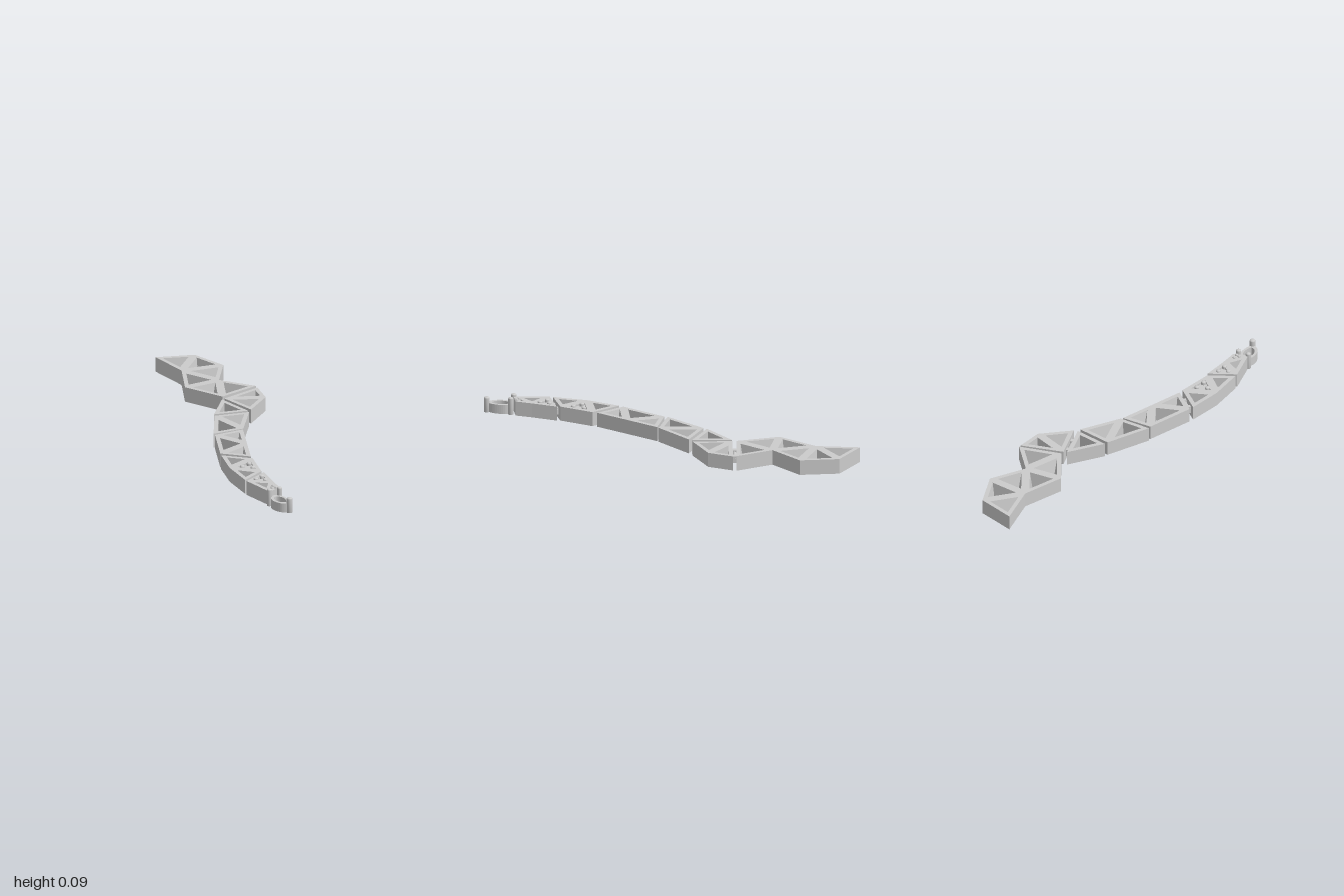
import * as THREE from 'three';

const mat = new THREE.MeshStandardMaterial({ color: 0xcccccc });
const flat = new THREE.MeshStandardMaterial({ color: 0xcccccc, flatShading: true });

// Triangular frame: a closed four-ring section swept round three corners.
// The opening narrows from the top to the bottom; inset 0 gives a solid prism.
function triangle(corners, height, topInset, bottomInset, y0 = 0) {
  let [a, b, c] = corners.map(p => new THREE.Vector2(...p));
  const area = (b.x - a.x) * (c.y - a.y) - (b.y - a.y) * (c.x - a.x);
  if (area > 0) [b, c] = [c, b];
  const la = b.distanceTo(c), lb = c.distanceTo(a), lc = a.distanceTo(b), sum = la + lb + lc;
  const centre = new THREE.Vector2(
    (a.x * la + b.x * lb + c.x * lc) / sum, (a.y * la + b.y * lb + c.y * lc) / sum);
  const radius = Math.abs(area) / sum;
  const ring = (inset, y) => [a, b, c].map(p => {
    const q = p.clone().lerp(centre, Math.min(1, inset / radius));
    return [q.x, y, q.y];
  });
  const solid = topInset === 0;
  const rings = [ring(0, y0), ring(0, height),
    ring(solid ? radius : topInset, height), ring(solid ? radius : bottomInset, y0)];
  const pos = [];
  for (let r = 0; r < 4; r++) {
    if (solid && r === 2) continue;
    for (let i = 0; i < 3; i++) {
      const j = (i + 1) % 3, lo = rings[r], hi = rings[(r + 1) % 4];
      pos.push(...lo[i], ...lo[j], ...hi[j], ...lo[i], ...hi[j], ...hi[i]);
    }
  }
  const g = new THREE.BufferGeometry();
  g.setAttribute('position', new THREE.Float32BufferAttribute(pos, 3));
  g.computeVertexNormals();
  return g;
}

// Each link: plan points (x, z), triangles between them, and which are closed panels
const links = [
  { name: 'endLink', h: 0.078, pts: [[-0.23, -1], [-0.03, -1], [0.09, -0.84], [-0.13, -0.8],
    [0.035, -0.645], [-0.15, -0.575], [0.015, -0.42], [0.205, -0.535]],
    tris: [[0, 1, 3], [1, 2, 3], [2, 4, 3], [3, 4, 5], [4, 6, 5], [4, 7, 6]], taper: [0, 1, 2, 3, 4, 5] },
  { name: 'elbowLink', h: 0.075, pts: [[0.21, -0.52], [0.022, -0.4], [0.23, -0.385], [0.13, -0.23]],
    tris: [[0, 1, 2], [1, 2, 3]], taper: [1] },
  { name: 'triangleLink', h: 0.075, pts: [[0.008, -0.39], [0.113, -0.218], [-0.065, -0.197]],
    tris: [[0, 1, 2]] },
  { name: 'upperLink', h: 0.075, pts: [[-0.065, -0.178], [0.115, -0.2], [-0.11, 0.062], [0.05, 0.017]],
    tris: [[0, 2, 3], [0, 1, 3]], taper: [1] },
  { name: 'middleLink', h: 0.075, pts: [[-0.105, 0.077], [0.046, 0.028], [0.035, 0.215],
    [-0.12, 0.33], [0.025, 0.395]], tris: [[0, 1, 2], [0, 2, 3], [2, 4, 3]], taper: [0, 2] },
  { name: 'lowerLink', h: 0.075, pts: [[-0.12, 0.355], [0.03, 0.42], [0.045, 0.6],
    [-0.055, 0.705], [-0.105, 0.53]], tris: [[0, 1, 4], [1, 2, 4], [4, 2, 3]], closed: [1] },
  { name: 'claspLink', h: 0.075, pts: [[0.055, 0.615], [-0.05, 0.72], [0.08, 0.745],
    [0.04, 0.88], [0.1, 0.83]], tris: [[0, 1, 2], [1, 2, 3], [2, 4, 3]], closed: [0, 2] },
];

// Centre lines of the gaps, where the hinges sit
const gaps = [
  [[0.017, -0.41], [0.207, -0.528]], [[0.015, -0.396], [0.122, -0.224]],
  [[-0.065, -0.188], [0.115, -0.209]], [[-0.107, 0.07], [0.048, 0.022]],
  [[-0.12, 0.342], [0.027, 0.408]], [[-0.053, 0.712], [0.05, 0.607]],
];

export function createModel() {
  const model = new THREE.Group();
  const add = (parent, name, geometry, material = mat) => {
    const m = new THREE.Mesh(geometry, material);
    m.name = name;
    parent.add(m);
    return m;
  };

  // Links
  for (const { name, h, pts, tris, taper = [], closed = [] } of links) {
    const link = new THREE.Group();
    link.name = name;
    tris.forEach((t, i) => {
      const corners = t.map(k => pts[k]);
      add(link, 'triangleFrame', triangle(corners, h, 0.021, taper.includes(i) ? 0.034 : 0.022), flat);
      if (closed.includes(i)) add(link, 'panel', triangle(corners, 0.066, 0, 0, 0.002), flat);
    });
    model.add(link);
  }

  // Hinges: a pin along each gap with knuckles reaching into both links
  for (const [[ax, az], [bx, bz]] of gaps) {
    const hinge = new THREE.Group();
    hinge.name = 'hinge';
    const length = Math.hypot(bx - ax, bz - az);
    const pin = add(hinge, 'hingePin', new THREE.CylinderGeometry(0.011, 0.011, length * 0.55, 12));
    pin.rotation.z = Math.PI / 2;
    for (const side of [-1, 1]) {
      const knuckle = add(hinge, 'hingeKnuckle', new THREE.BoxGeometry(length * 0.12, 0.036, 0.03));
      knuckle.position.x = side * length * 0.2;
    }
    hinge.position.set((ax + bx) / 2, 0.038, (az + bz) / 2);
    hinge.rotation.y = -Math.atan2(bz - az, bx - ax);
    model.add(hinge);
  }

  // Rounded studs on the panels and posts by the clasp: x, z, radius, top, base
  const stud = (name, x, z, r, top, base) => {
    const profile = [[0, base], [r, base], [r, top - r * 0.5], [r * 0.87, top - r * 0.2],
      [r * 0.5, top], [0, top]].map(p => new THREE.Vector2(...p));
    add(model, name, new THREE.LatheGeometry(profile, 16)).position.set(x, 0, z);
  };
  for (const [x, z] of [[-0.04, 0.525], [0, 0.49], [0.01, 0.545], [0.035, 0.67], [0, 0.705], [0.045, 0.72]])
    stud('stud', x, z, 0.012, 0.083, 0.03);
  for (const [x, z] of [[0.07, 0.81], [0.06, 0.835], [0.08, 0.835]])
    stud('smallStud', x, z, 0.008, 0.083, 0.03);
  stud('claspPost', 0.04, 0.878, 0.013, 0.09, 0);
  stud('claspPost', 0.095, 0.862, 0.013, 0.09, 0);
  stud('tipPost', 0.125, 0.985, 0.015, 0.08, 0);

  // Clasp loop
  const loop = [[0.07, 0.862], [0.045, 0.89], [0.05, 0.94], [0.085, 0.98], [0.12, 0.985],
    [0.127, 0.94], [0.108, 0.885]];
  const curve = scale => new THREE.CatmullRomCurve3(loop.map(([x, z]) => new THREE.Vector3(
    0.088 + (x - 0.088) * scale, -0.925 - (z - 0.925) * scale, 0)), true)
    .getPoints(40).slice(0, 40).map(p => new THREE.Vector2(p.x, p.y));
  const shape = new THREE.Shape(curve(1));
  shape.holes.push(new THREE.Path(curve(0.66)));
  const ring = new THREE.ExtrudeGeometry(shape, { depth: 0.048, bevelEnabled: false });
  add(model, 'claspLoop', ring.rotateX(-Math.PI / 2));

  return model;
}
